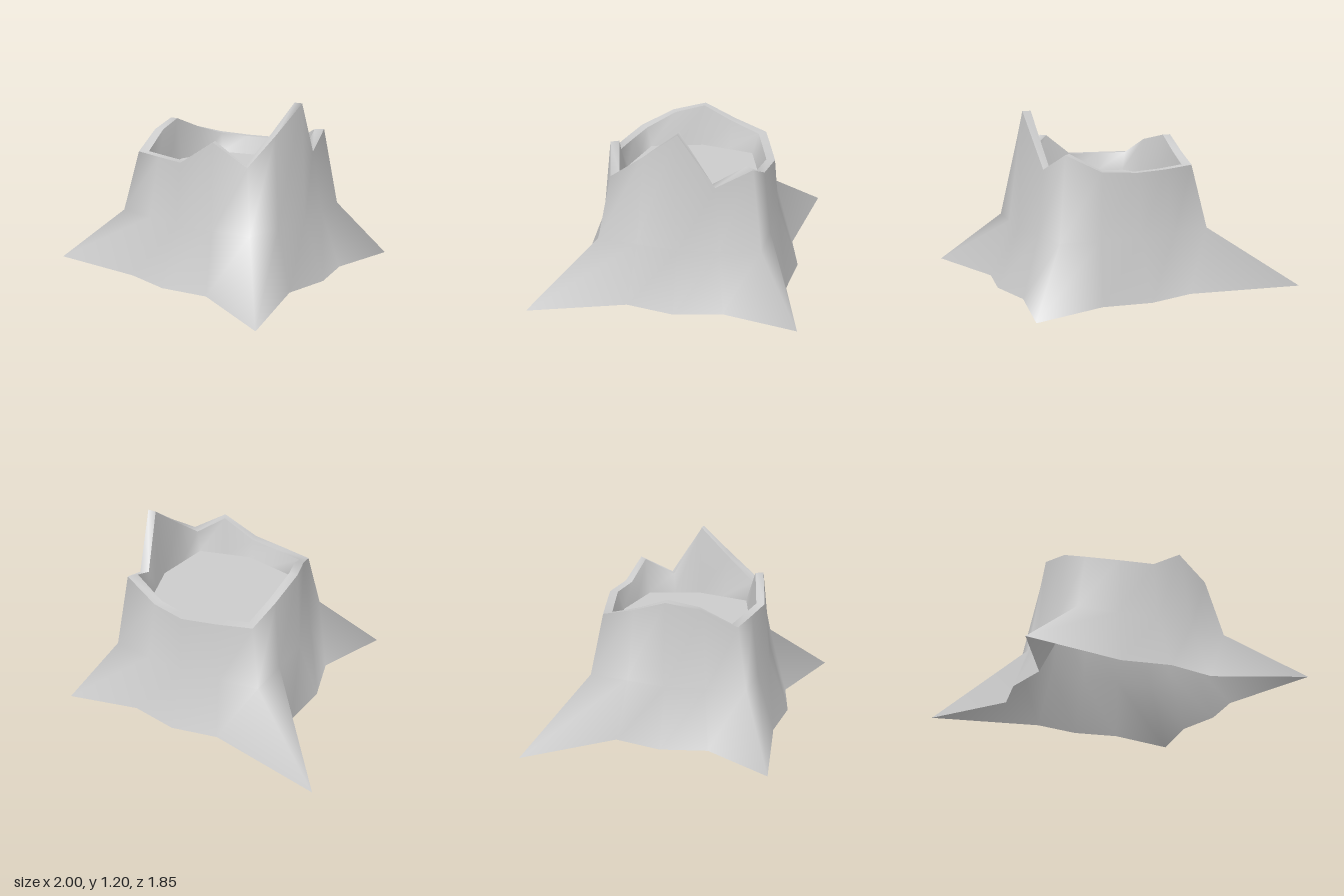
import * as THREE from 'three';
import { mergeVertices } from 'three/addons/utils/BufferGeometryUtils.js';

const CX = 0.1, CZ = -0.05, SIDES = 16;

// Sixteen-point squarish ring: axis, mid and corner offsets, turned through four quarters.
function ring(axis, mid, t, corner, heightAt) {
  const quarter = [[0, axis], [t, mid], [corner, corner], [mid, t]];
  const points = [];
  for (let k = 0; k < SIDES; k++) {
    let [x, z] = quarter[k % 4];
    for (let q = 0; q < Math.floor(k / 4); q++) [x, z] = [z, -x];
    points.push(new THREE.Vector3(CX + x, heightAt(k), CZ + z));
  }
  return points;
}

// Smooth skin through a list of rings.
function loft(name, rings, material) {
  const pos = [], index = [];
  rings.forEach((r) => r.forEach((p) => pos.push(p.x, p.y, p.z)));
  for (let r = 0; r < rings.length - 1; r++) {
    for (let k = 0; k < SIDES; k++) {
      const n = (k + 1) % SIDES;
      const a = r * SIDES + k, b = r * SIDES + n;
      index.push(a, b, b + SIDES, a, b + SIDES, a + SIDES);
    }
  }
  let geo = new THREE.BufferGeometry();
  geo.setAttribute('position', new THREE.Float32BufferAttribute(pos, 3));
  geo.setIndex(index);
  geo = mergeVertices(geo);
  geo.computeVertexNormals();
  const mesh = new THREE.Mesh(geo, material);
  mesh.name = name;
  return mesh;
}

export function createModel() {
  const group = new THREE.Group();
  group.name = 'treeStump';
  const material = new THREE.MeshStandardMaterial({ color: 0xcccccc, side: THREE.DoubleSide });

  // Broken rim heights, from the front round by +x, the back and -x
  const rimHeights = [
    0.82, 0.975, 0.83, 1.01,
    1.2, 0.83, 0.95, 0.83,
    0.82, 0.82, 0.83, 0.9,
    0.99, 0.94, 0.82, 0.82,
  ];
  const rimY = (k) => rimHeights[k];

  // Base outline with four root tips of different lengths
  const base = ring(0.775, 0.715, 0.325, 0.7, () => 0);
  base[2].set(1, 0, 0.92);
  base[6].set(0.92, 0, -0.87);
  base[10].set(-1, 0, -0.93);
  base[14].set(-0.87, 0.02, 0.72);

  const waist = ring(0.62, 0.585, 0.275, 0.55, () => 0.4);
  const rimOuter = ring(0.575, 0.525, 0.235, 0.47, rimY);
  const rimInner = ring(0.515, 0.47, 0.21, 0.42, rimY);
  const floor = ring(0.47, 0.425, 0.19, 0.38, () => 0.69);

  group.add(loft('trunkAndRoots', [base, waist, rimOuter], material));
  group.add(loft('rim', [rimOuter, rimInner], material));
  group.add(loft('innerWall', [rimInner, floor], material));

  // Flat cut wood inside the rim
  const outline = new THREE.Shape(floor.map((p) => new THREE.Vector2(p.x, -p.z)));
  const cut = new THREE.Mesh(new THREE.ShapeGeometry(outline).rotateX(-Math.PI / 2), material);
  cut.position.y = 0.69;
  cut.name = 'cutSurface';
  group.add(cut);

  return group;
}
